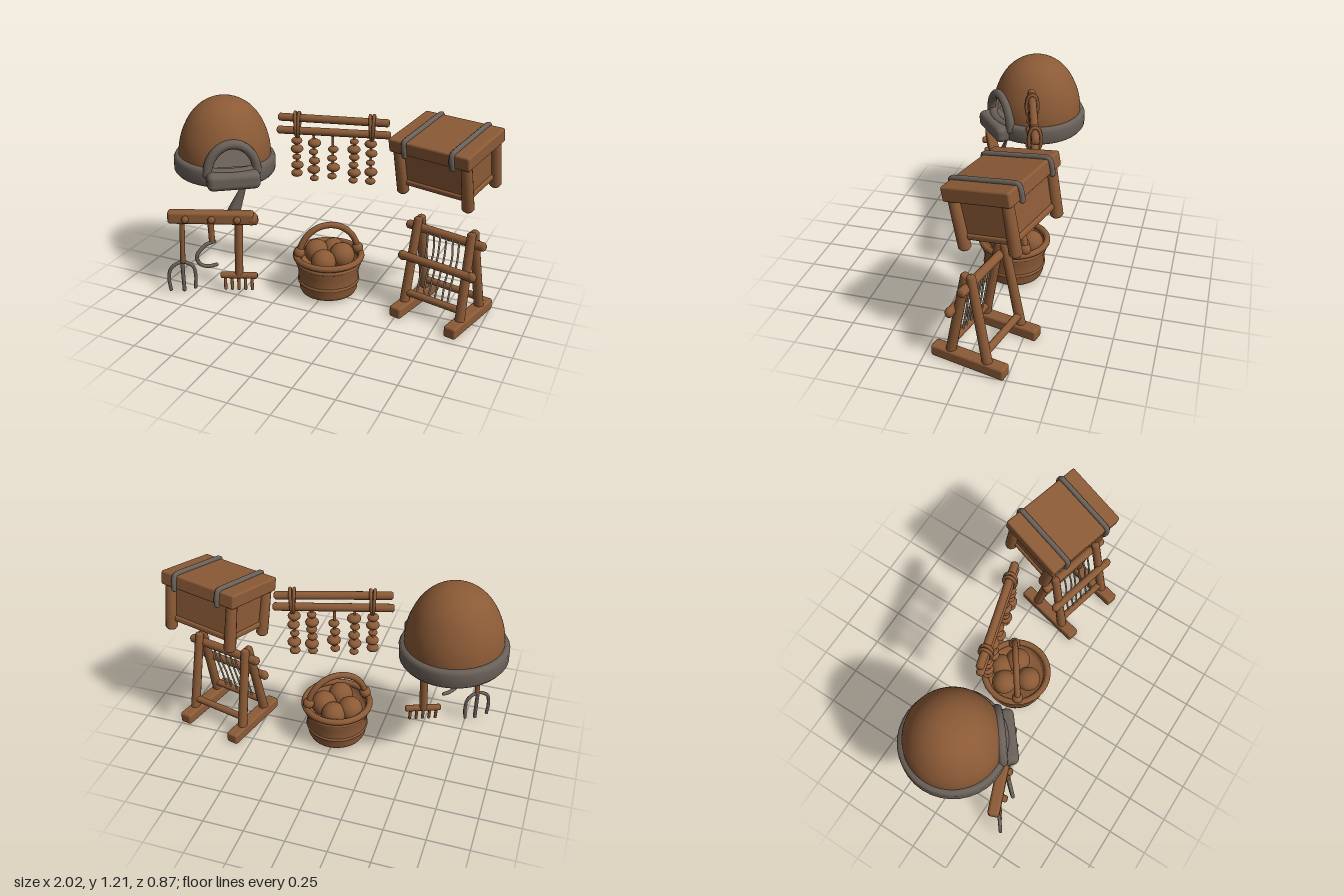
import * as THREE from 'three';
import { RoundedBoxGeometry } from 'three/addons/geometries/RoundedBoxGeometry.js';

const wood = new THREE.MeshStandardMaterial({ color: 0x8b5a36 });
wood.name = 'brown';
const metal = new THREE.MeshStandardMaterial({ color: 0x6a6159 });
metal.name = 'grey';
const thread = new THREE.MeshStandardMaterial({ color: 0x978d7e });
thread.name = 'thread';

const V = (x, y, z) => new THREE.Vector3(x, y, z);
const P = (list) => list.map(([x, y]) => new THREE.Vector2(x, y));

function add(parent, name, geo, mat, x = 0, y = 0, z = 0) {
  const m = new THREE.Mesh(geo, mat);
  m.name = name;
  m.position.set(x, y, z);
  parent.add(m);
  return m;
}
function group(parent, name, x = 0, y = 0, z = 0, ry = 0) {
  const g = new THREE.Group();
  g.name = name;
  g.position.set(x, y, z);
  g.rotation.y = ry;
  parent.add(g);
  return g;
}
// Round log with softened ends between two points
function rod(parent, name, a, b, r, mat = wood, rTop = r) {
  const d = b.clone().sub(a), h = d.length(), c = Math.min(r * 0.4, h * 0.2);
  const geo = new THREE.LatheGeometry(P([[0, 0], [r * 0.65, 0], [r, c], [rTop, h - c], [rTop * 0.65, h], [0, h]]), 14);
  const m = add(parent, name, geo, mat, a.x, a.y, a.z);
  m.quaternion.setFromUnitVectors(V(0, 1, 0), d.normalize());
  return m;
}
function tube(parent, name, pts, r, mat, closed = false) {
  const curve = new THREE.CatmullRomCurve3(pts, closed);
  const m = add(parent, name, new THREE.TubeGeometry(curve, 40, r, 10, closed), mat);
  if (!closed) for (const p of [pts[0], pts[pts.length - 1]])
    add(parent, name + 'End', new THREE.SphereGeometry(r, 10, 8), mat, p.x, p.y, p.z);
  return m;
}
function block(parent, name, w, h, d, mat, x, y, z, r = 0.012) {
  return add(parent, name, new RoundedBoxGeometry(w, h, d, 3, r), mat, x, y, z);
}

function oven(root) {
  const g = group(root, 'oven', -0.69, 0.8, 0);
  g.rotation.z = -0.04;
  const turn = 0.69;
  // Hollow dome, with the mouth cut out of both shells
  const outer = [[0.287, 0], [0.283, 0.1], [0.262, 0.19], [0.217, 0.285], [0.155, 0.355], [0.08, 0.397], [0, 0.41]];
  const smooth = (l) => new THREE.SplineCurve(P(l)).getPoints(36).map((p) => p.set(Math.max(p.x, 0), p.y));
  const inner = outer.map(([x, y]) => [x * 0.9, y * 0.92]).reverse();
  for (const [name, prof] of [['domeOuter', outer], ['domeInner', inner]]) {
    const geo = new THREE.LatheGeometry(smooth(prof), 96);
    const pos = geo.attributes.position, idx = geo.index.array, keep = [];
    const c = V(0, 0, 0), p = V(0, 0, 0);
    for (let i = 0; i < idx.length; i += 3) {
      c.set(0, 0, 0);
      for (let k = 0; k < 3; k++) c.add(p.fromBufferAttribute(pos, idx[i + k]));
      c.divideScalar(3).applyAxisAngle(V(0, 1, 0), -turn);
      if (c.z > 0 && (c.x / 0.142) ** 2 + (c.y / 0.19) ** 2 < 1) continue;
      keep.push(idx[i], idx[i + 1], idx[i + 2]);
    }
    geo.setIndex(keep);
    add(g, name, geo, wood);
  }
  // Stone band, floor and sill
  add(g, 'baseRing', new THREE.LatheGeometry(P([[0.262, -0.05], [0.28, -0.07], [0.3, -0.066], [0.316, -0.045],
    [0.317, 0.025], [0.306, 0.048], [0.28, 0.054], [0.25, 0.03], [0.262, -0.05]]), 36), metal);
  add(g, 'floor', new THREE.CylinderGeometry(0.27, 0.27, 0.05, 36), metal, 0, 0, 0);
  const mouth = group(g, 'mouth', 0, 0, 0, turn);
  block(mouth, 'sill', 0.32, 0.108, 0.16, metal, 0, -0.016, 0.274, 0.035);
  const arch = [];
  for (let i = 0; i <= 12; i++) {
    const a = Math.PI * i / 12;
    arch.push(V(0.15 * Math.cos(a), 0.015 + 0.18 * Math.sin(a), 0.26));
  }
  tube(mouth, 'arch', arch, 0.029, metal);
}

function toolRack(root) {
  const g = group(root, 'toolRack');
  const bar = block(g, 'bar', 0.53, 0.082, 0.07, wood, -0.64, 0.53, 0.285, 0.02);
  bar.rotation.y = 0.376;
  rod(g, 'barKnob', V(-0.43, 0.515, 0.2), V(-0.375, 0.525, 0.18), 0.038);
  for (const x of [-0.78, -0.63, -0.485]) {
    const z = 0.285 - 0.395 * (x + 0.64);
    rod(g, 'peg', V(x, 0.525, z), V(x + 0.022, 0.53, z + 0.058), 0.022);
  }
  // Pitchfork
  rod(g, 'forkHandle', V(-0.8, 0.52, 0.36), V(-0.81, 0.22, 0.37), 0.016);
  tube(g, 'forkProngs', [V(-0.88, 0.04, 0.418), V(-0.885, 0.12, 0.422), V(-0.87, 0.19, 0.412), V(-0.815, 0.225, 0.37),
    V(-0.762, 0.19, 0.334), V(-0.75, 0.12, 0.326), V(-0.755, 0.04, 0.33)], 0.011, metal);
  rod(g, 'forkMiddle', V(-0.815, 0.235, 0.37), V(-0.812, 0.02, 0.37), 0.012, metal);
  // Sickle
  rod(g, 'sickleHandle', V(-0.63, 0.54, 0.31), V(-0.625, 0.37, 0.31), 0.019);
  tube(g, 'sickleBlade', [V(-0.612, 0.38, 0.305), V(-0.65, 0.365, 0.345), V(-0.69, 0.3, 0.39), V(-0.675, 0.24, 0.375),
    V(-0.64, 0.217, 0.335), V(-0.608, 0.218, 0.3)], 0.012, metal);
  // Rake
  rod(g, 'rakeHandle', V(-0.485, 0.55, 0.215), V(-0.495, 0.12, 0.225), 0.026);
  rod(g, 'rakeHead', V(-0.6, 0.132, 0.27), V(-0.385, 0.132, 0.185), 0.021);
  for (let i = 0; i < 5; i++) {
    const x = -0.575 + i * 0.039, z = 0.26 - i * 0.0155;
    rod(g, 'rakeTooth', V(x, 0.13, z), V(x + 0.006, 0.035, z + 0.01), 0.01);
  }
  // Tapered blade standing above the bar
  const blade = add(g, 'blade', new THREE.CylinderGeometry(0.008, 0.045, 0.24, 4), metal, -0.495, 0.655, 0.165);
  blade.scale.z = 0.45;
  blade.quaternion.setFromUnitVectors(V(0, 1, 0), V(0.06, 0.2, -0.07).normalize());
}

function dryingRack(root) {
  const g = group(root, 'dryingRack', -0.01, 0, -0.14, 0.275);
  rod(g, 'upperPole', V(-0.335, 1.112, 0), V(0.335, 1.1, 0), 0.024);
  rod(g, 'lowerPole', V(-0.345, 1.03, 0), V(0.345, 1.025, 0), 0.024);
  for (const x of [-0.22, 0.232]) for (const s of [-1, 1]) {
    const loop = [];
    for (let i = 0; i < 12; i++) {
      const a = i * Math.PI / 6;
      loop.push(V(x + s * (0.008 + 0.004 * Math.sin(a)), 1.068 + 0.076 * Math.sin(a), 0.035 * Math.cos(a)));
    }
    tube(g, 'binding', loop, 0.01, wood, true);
  }
  // Strings of dried food: [x, top, bottom, bead count]
  const strings = [[-0.225, 0.965, 0.755, 5], [-0.12, 0.955, 0.725, 5], [-0.005, 0.92, 0.745, 4],
    [0.125, 0.975, 0.725, 6], [0.228, 0.965, 0.725, 5]];
  strings.forEach(([x, top, bottom, n], s) => {
    rod(g, 'cord', V(x, 1.02, 0), V(x, bottom, 0), 0.008);
    for (let i = 0; i < n; i++) {
      const r = 0.034 + 0.007 * Math.sin(i * 2.3 + s * 1.7);
      const b = add(g, 'bead', new THREE.SphereGeometry(r, 14, 10), wood,
        x + 0.004 * Math.sin(i * 3 + s), top + (bottom - top) * i / (n - 1), 0);
      b.scale.y = 0.66;
    }
  });
}

function chest(root) {
  const g = group(root, 'chest', 0.687, 1.12, -0.138, -0.262);
  g.rotation.order = 'YXZ';
  g.rotation.x = 0.185;
  block(g, 'lid', 0.53, 0.085, 0.405, wood, 0, -0.042, 0);
  block(g, 'body', 0.43, 0.225, 0.3, wood, 0, -0.19, 0);
  for (const s of [-1, 1]) {
    block(g, 'longRail', 0.44, 0.035, 0.03, wood, 0, -0.295, s * 0.148);
    block(g, 'sideRail', 0.03, 0.035, 0.3, wood, s * 0.212, -0.295, 0);
    for (const t of [-1, 1])
      rod(g, 'leg', V(s * 0.22, -0.37, t * 0.153), V(s * 0.224, -0.07, t * 0.16), 0.036, wood, 0.032);
    const x = 0.003 + s * 0.157;
    tube(g, 'strap', [V(x, -0.085, -0.205), V(x, -0.04, -0.208), V(x, 0, -0.197), V(x, 0.004, -0.165),
      V(x, 0.004, 0), V(x, 0.004, 0.165), V(x, 0, 0.197), V(x, -0.04, 0.208), V(x, -0.085, 0.205)], 0.016, metal);
  }
}

function basket(root) {
  const g = group(root, 'basket', 0.005, 0, -0.033);
  // Walls with woven ridges, hollow inside
  add(g, 'wall', new THREE.LatheGeometry(P([[0, 0.035], [0.14, 0.035], [0.15, 0.022], [0.172, 0.024], [0.182, 0.045], [0.181, 0.08],
    [0.193, 0.092], [0.188, 0.11], [0.19, 0.17], [0.2, 0.2], [0.2, 0.25], [0.18, 0.25], [0.17, 0.18], [0, 0.17]]), 36), wood);
  for (const [r, y, t] of [[0.204, 0.26, 0.02], [0.193, 0.222, 0.014], [0.183, 0.1, 0.012]]) {
    const ring = add(g, 'hoop', new THREE.TorusGeometry(r, t, 10, 40), wood, 0, y, 0);
    ring.rotation.x = Math.PI / 2;
  }
  // Arched handle
  const h = group(g, 'handle', 0, 0, 0, 0.62);
  const pts = [];
  for (let i = 0; i <= 12; i++) {
    const a = Math.PI * i / 12;
    pts.push(V(0.185 * Math.cos(a), 0.265 + 0.197 * Math.sin(a), 0));
  }
  tube(h, 'handleArch', pts, 0.02, wood);
  for (const s of [-1, 1]) add(h, 'handleKnob', new THREE.SphereGeometry(0.036, 14, 10), wood, s * 0.185, 0.292, 0);
  // Round loaves
  for (const [x, y, z, r] of [[0.005, 0.25, 0.09, 0.078], [-0.095, 0.25, -0.03, 0.078], [0.075, 0.255, -0.035, 0.08],
    [-0.01, 0.245, -0.105, 0.075]])
    add(g, 'loaf', new THREE.SphereGeometry(r, 20, 14), wood, x, y, z);
}

function loom(root) {
  const g = group(root, 'loom', 0.738, 0, -0.065, -0.24);
  for (const s of [-1, 1]) {
    block(g, 'foot', 0.078, 0.072, 0.46, wood, s * 0.188, 0.037, 0, 0.014);
    for (const t of [-1, 1])
      rod(g, 'frameLeg', V(s * 0.192, 0.05, t * 0.118), V(s * 0.178, 0.595, t * 0.014), 0.03, wood, 0.027);
    const knob = add(g, 'beamKnob', new THREE.SphereGeometry(0.031, 12, 10), wood, s * 0.232, 0.355, 0.088);
    knob.scale.z = 0.85;
  }
  rod(g, 'topBeam', V(-0.262, 0.525, 0), V(0.262, 0.52, 0), 0.027);
  rod(g, 'middleBeam', V(-0.235, 0.357, 0.088), V(0.235, 0.355, 0.088), 0.025);
  for (const t of [-1, 1]) rod(g, 'lowerBeam', V(-0.205, 0.128, t * 0.105), V(0.205, 0.128, t * 0.105), 0.022);
  // Slack warp threads
  for (let i = 0; i < 6; i++) {
    const x = -0.105 + i * 0.042, b = 0.006 * Math.sin(i * 1.9);
    tube(g, 'warp', [V(x, 0.52, 0.022), V(x + 0.006 + b, 0.4, 0.042), V(x - 0.006, 0.27, 0.07), V(x - 0.012 + b, 0.13, 0.1)], 0.0058, thread);
  }
}

export function createModel() {
  const root = new THREE.Group();
  root.name = 'villageProps';
  for (const build of [oven, toolRack, dryingRack, chest, basket, loom]) build(root);
  return root;
}
